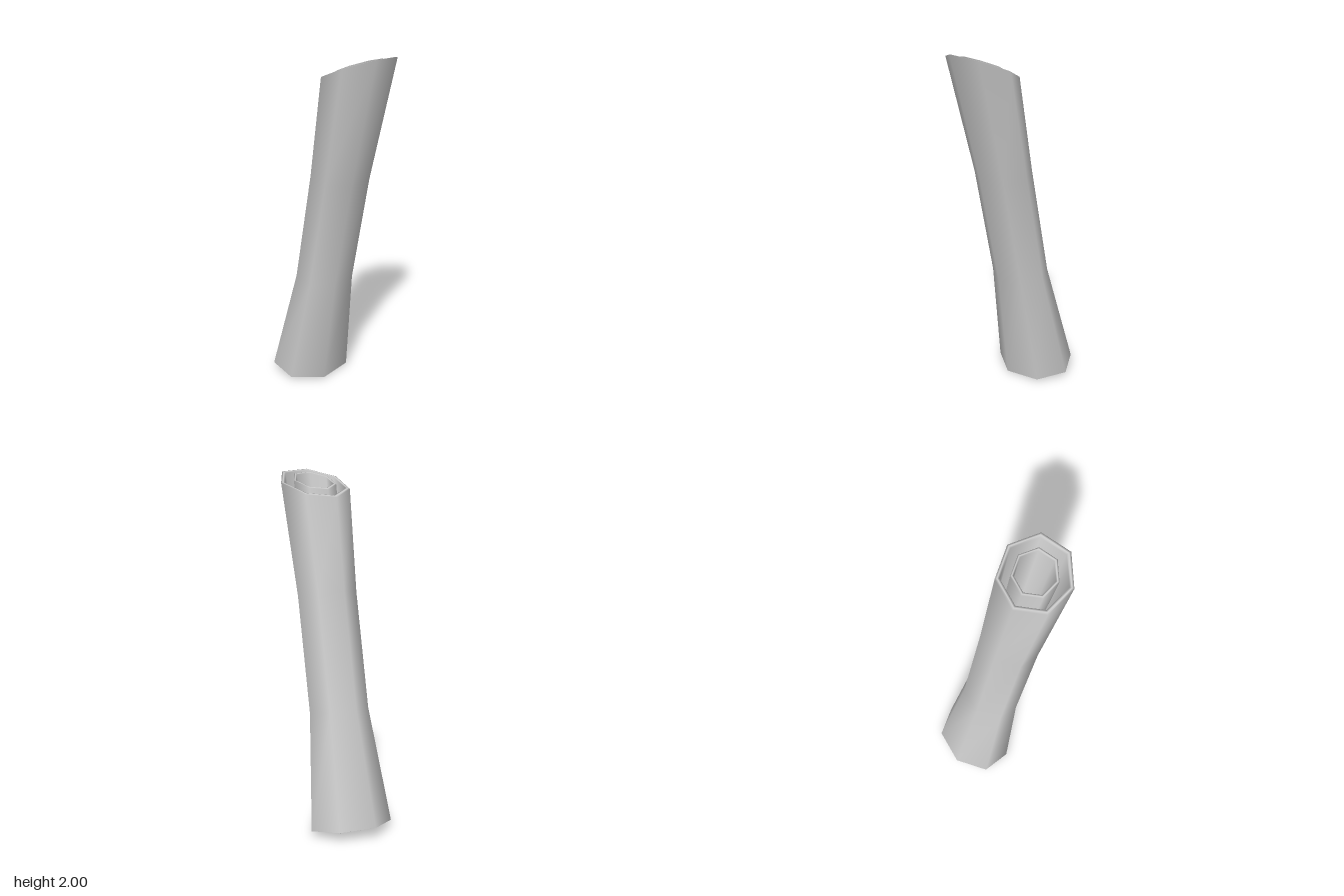
import * as THREE from 'three';

const SIDES = 7;

// Tilted seven-sided cross-sections, bottom to top: centre x, y, z, radii and slope along x
const SECTIONS = [
  { x: -0.21, y: 0.03, z: 0.008, rx: 0.196, rz: 0.243, slope: -0.15 },
  { x: -0.07, y: 0.66, z: 0.009, rx: 0.141, rz: 0.179, slope: -0.15 },
  { x: 0.068, y: 1.3, z: 0.009, rx: 0.141, rz: 0.179, slope: -0.2 },
  { x: 0.218, y: 1.92, z: 0.013, rx: 0.187, rz: 0.208, slope: 0.43 },
];

// One ring of corners, shrunk by a scale and a wall inset, raised by lift
function ring(section, scale, inset, lift) {
  const { x, y, z, rx, rz, slope } = section;
  const points = [];
  for (let i = 0; i < SIDES; i++) {
    const a = (i / SIDES) * Math.PI * 2;
    const dx = Math.sin(a) * (rx * scale - inset);
    const dz = -Math.cos(a) * (rz * scale - inset);
    points.push(x + dx, y + dx * slope + lift, z + dz);
  }
  return points;
}

// Hollow tube: up the outside, over the rim, down the inside and round the bottom rim
function hollowTube(name, scales, wall, lift, material) {
  const last = SECTIONS.length - 1;
  const rings = [];
  const endLift = (k) => (k === last ? lift : 0);
  SECTIONS.forEach((s, k) => rings.push(ring(s, scales[k], 0, endLift(k))));
  rings.push(ring(SECTIONS[last], scales[last], wall / 2, lift + 0.003));
  for (let k = last; k >= 0; k--) {
    rings.push(ring(SECTIONS[k], scales[k], wall, endLift(k)));
  }
  rings.push(ring(SECTIONS[0], scales[0], wall / 2, -0.003));

  const index = [];
  for (let r = 0; r < rings.length; r++) {
    const next = (r + 1) % rings.length;
    for (let i = 0; i < SIDES; i++) {
      const j = (i + 1) % SIDES;
      const a = r * SIDES + i, b = r * SIDES + j;
      const c = next * SIDES + j, d = next * SIDES + i;
      index.push(a, d, b, b, d, c);
    }
  }
  const geometry = new THREE.BufferGeometry();
  geometry.setAttribute('position', new THREE.Float32BufferAttribute(rings.flat(), 3));
  geometry.setIndex(index);
  geometry.computeVertexNormals();
  const mesh = new THREE.Mesh(geometry, material);
  mesh.name = name;
  return mesh;
}

export function createModel() {
  const group = new THREE.Group();
  group.name = 'hollowStalk';
  const material = new THREE.MeshStandardMaterial({ color: 0xcccccc });

  // Flared outer shell and the narrower tube nested inside it
  group.add(hollowTube('outerShell', [1, 1, 1, 1], 0.024, 0, material));
  group.add(hollowTube('innerTube', [0.58, 0.58, 0.58, 0.62], 0.017, 0.012, material));
  return group;
}
